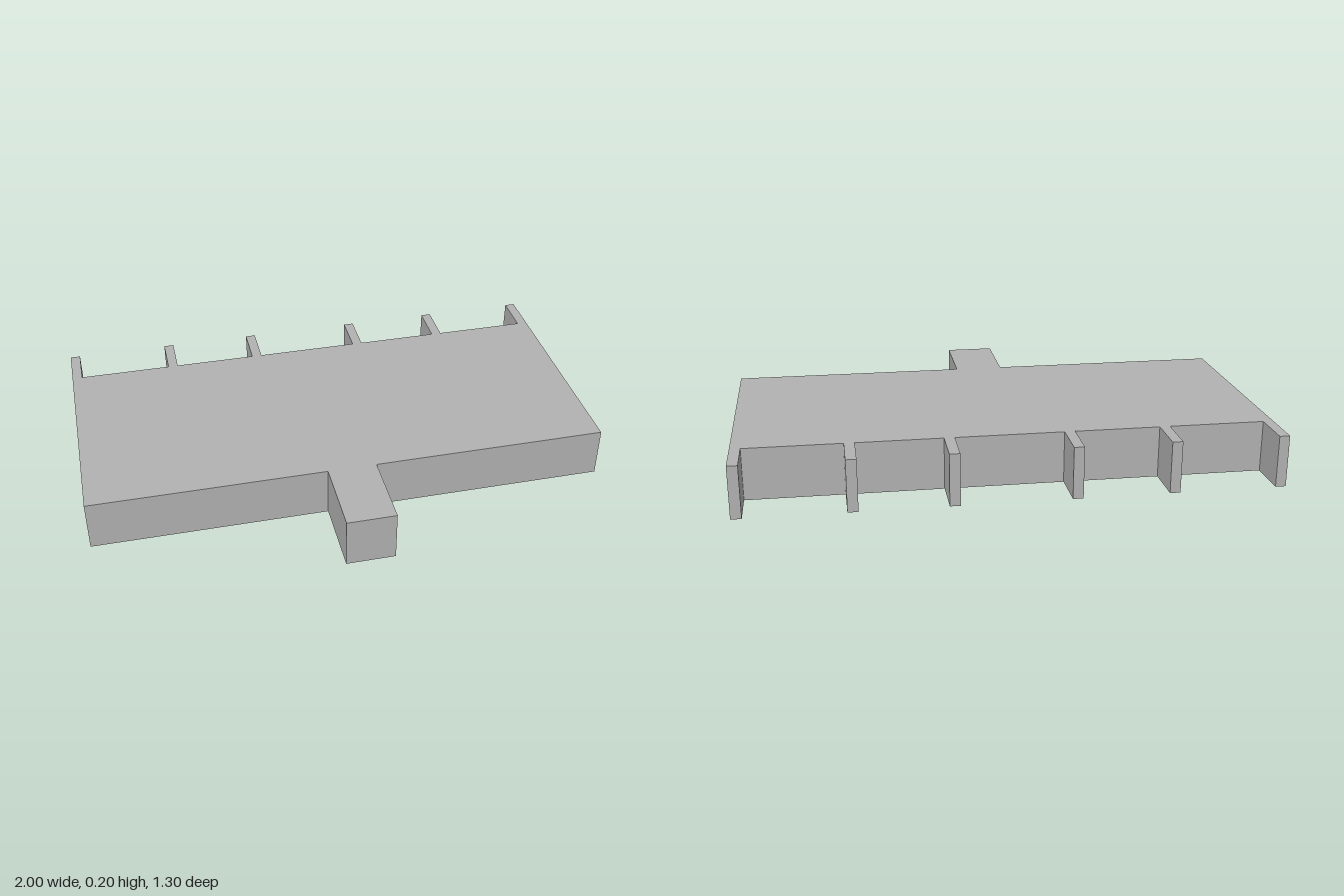
import * as THREE from 'three';

const HEIGHT = 0.197;

export function createModel() {
  const group = new THREE.Group();
  const grey = new THREE.MeshStandardMaterial({ color: 0xb2b2b2 });
  grey.name = 'plain grey';

  // Full-height block standing on the ground between two x and two z limits
  function block(name, x0, x1, z0, z1) {
    const mesh = new THREE.Mesh(new THREE.BoxGeometry(x1 - x0, HEIGHT, z1 - z0), grey);
    mesh.position.set((x0 + x1) / 2, HEIGHT / 2, (z0 + z1) / 2);
    mesh.name = name;
    group.add(mesh);
  }

  // Long main storey and the projecting front entrance
  block('mainStorey', -1, 1, -0.487, 0.35);
  block('frontEntrance', -0.096, 0.092, 0.35, 0.65);

  // Dividing walls along the back, mirrored about the middle
  const finWidth = 0.039;
  for (const outer of [1, 0.6, 0.241]) {
    block('leftBackWall', outer - finWidth, outer, -0.65, -0.487);
    block('rightBackWall', -outer, -outer + finWidth, -0.65, -0.487);
  }
  return group;
}
